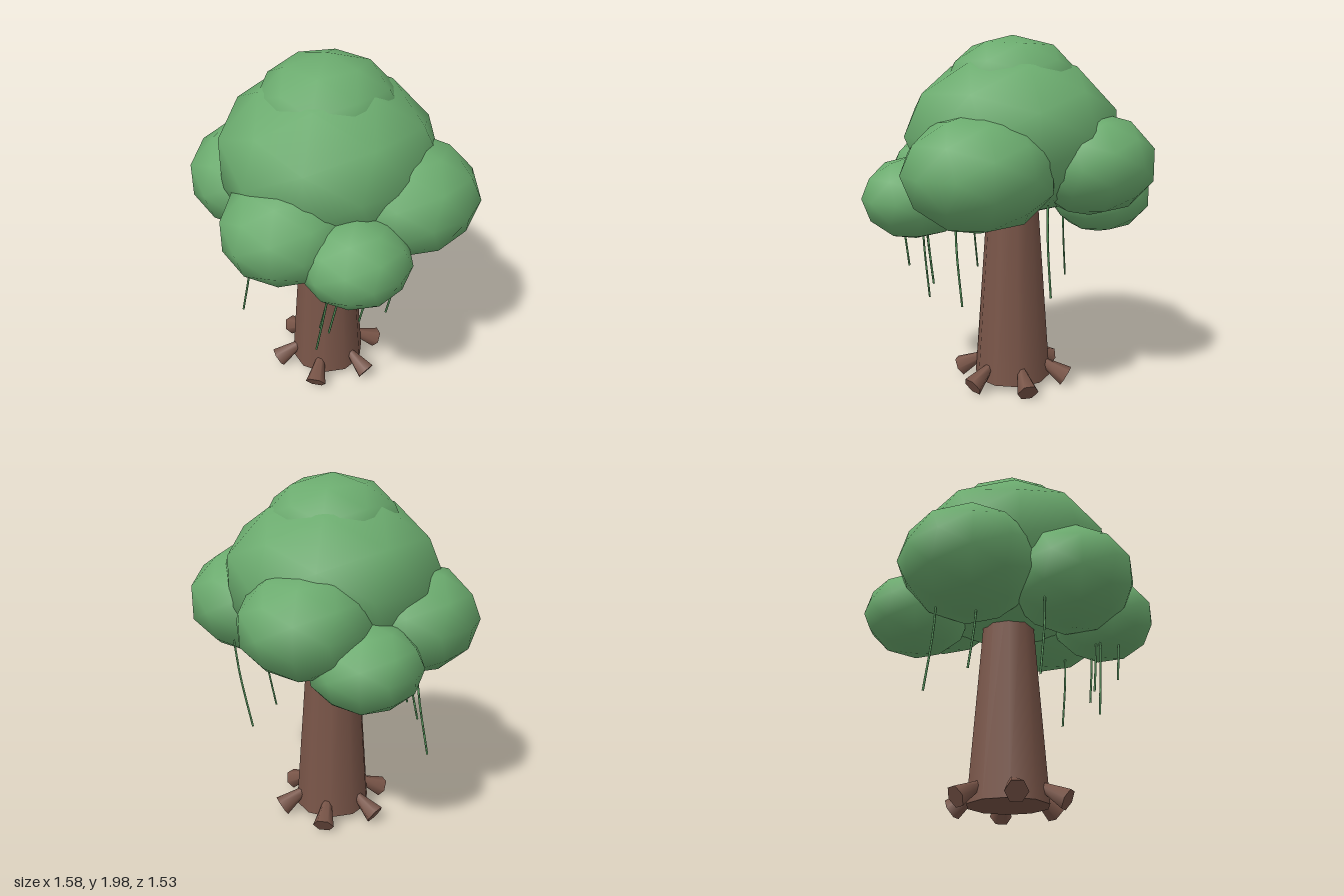
import * as THREE from 'three';

const foliageMat = new THREE.MeshStandardMaterial({ color: 0x6bab6e });
foliageMat.name = 'leaf green';
const vineMat = new THREE.MeshStandardMaterial({ color: 0x5a9a5f });
vineMat.name = 'vine green';
const barkMat = new THREE.MeshStandardMaterial({ color: 0x795548 });
barkMat.name = 'bark brown';

const AXIS_X = -0.02; // the trunk stands slightly off centre

function add(parent, name, geometry, material) {
  const mesh = new THREE.Mesh(geometry, material);
  mesh.name = name;
  parent.add(mesh);
  return mesh;
}

export function createModel() {
  const tree = new THREE.Group();
  tree.name = 'tree';

  // Tapered trunk
  const trunk = add(tree, 'trunk', new THREE.CylinderGeometry(0.13, 0.22, 1.24, 10), barkMat);
  trunk.position.set(AXIS_X, 0.68, 0);

  // Six stubby roots, flaring outward and down
  const rootGeo = new THREE.CylinderGeometry(0.06, 0.025, 0.15, 6);
  rootGeo.translate(0, -0.075, 0);
  rootGeo.rotateZ(-Math.PI / 2 - Math.PI / 6);
  rootGeo.translate(0.32, 0.068, 0);
  for (let i = 0; i < 6; i++) {
    const root = add(tree, 'root', rootGeo, barkMat);
    root.position.x = AXIS_X;
    root.rotation.y = (i * Math.PI) / 3;
  }

  // Flattened leaf clumps: name, centre, radius, half height
  const clumps = [
    ['mainCrown', AXIS_X, 1.46, 0, 0.6, 0.46],
    ['topCrown', AXIS_X, 1.71, 0, 0.385, 0.29],
    ['frontClump', 0.085, 1.22, 0.415, 0.35, 0.28],
    ['rightClump', -0.41, 1.26, 0.165, 0.38, 0.3],
    ['frontLeftClump', 0.44, 1.13, 0.295, 0.29, 0.23],
    ['leftClump', 0.385, 1.295, -0.16, 0.4, 0.31],
    ['backClump', -0.19, 1.32, -0.42, 0.35, 0.28],
    ['backRightClump', -0.455, 1.12, -0.28, 0.295, 0.23],
  ];
  const clumpGeo = new THREE.IcosahedronGeometry(1, 1);
  for (const [name, x, y, z, r, h] of clumps) {
    const clump = add(tree, name, clumpGeo, foliageMat);
    clump.position.set(x, y, z);
    clump.scale.set(r, h, r);
  }

  // Hanging vines, all swept the same way; lower tips
  const tips = [
    [-0.61, 0.52, 0.1], [-0.45, 0.63, 0.24], [-0.21, 0.575, 0.5],
    [0.17, 0.66, -0.46], [0.27, 0.5, 0.4], [0.27, 0.635, 0.37],
    [0.39, 0.71, 0.43], [0.4, 0.65, 0.2], [0.4, 0.57, -0.035],
  ];
  for (const [x, y, z] of tips) {
    const top = Math.max(1.1, y + 0.5);
    const curve = new THREE.CatmullRomCurve3([
      new THREE.Vector3(x + 0.075, top, z - 0.04),
      new THREE.Vector3(x + 0.055, y + (top - y) * 0.58, z - 0.025),
      new THREE.Vector3(x, y, z),
    ]);
    add(tree, 'vine', new THREE.TubeGeometry(curve, 6, 0.006, 5), vineMat);
  }

  return tree;
}
